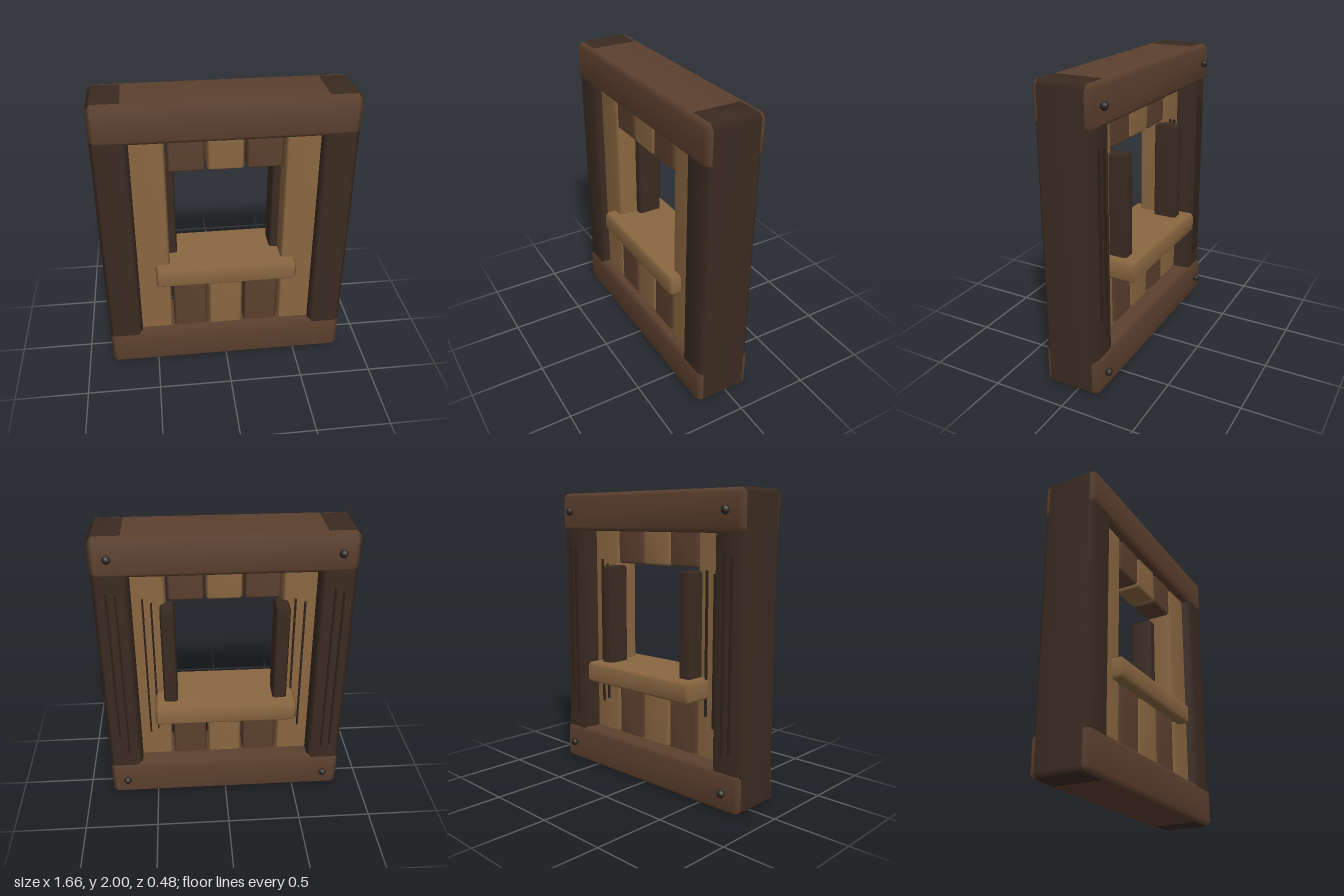
import * as THREE from 'three';
import { ConvexGeometry } from 'three/addons/geometries/ConvexGeometry.js';
import { mergeVertices } from 'three/addons/utils/BufferGeometryUtils.js';

const mat = (name, color) => {
  const m = new THREE.MeshStandardMaterial({ color });
  m.name = name;
  return m;
};

// Box with softly shaded chamfered edges, given by its minimum and maximum corners
function chamferBox(min, max, c) {
  const h = min.map((v, i) => (max[i] - v) / 2);
  const points = [];
  for (const sx of [-1, 1]) for (const sy of [-1, 1]) for (const sz of [-1, 1]) {
    for (let axis = 0; axis < 3; axis++) {
      const p = h.map((v, i) => (i === axis ? v : v - c));
      points.push(new THREE.Vector3(sx * p[0], sy * p[1], sz * p[2]));
    }
  }
  const hull = new ConvexGeometry(points);
  hull.deleteAttribute('normal');
  const g = mergeVertices(hull);
  g.computeVertexNormals();
  g.translate(...min.map((v, i) => (v + max[i]) / 2));
  return g;
}

export function createModel() {
  const group = new THREE.Group();
  group.name = 'windowFrame';
  const darkWood = mat('darkWood', 0x3b2b21);
  const midWood = mat('midWood', 0x5c402e);
  const lightWood = mat('lightWood', 0x8a6741);
  const grain = mat('grainWood', 0x2e2119);
  const iron = mat('iron', 0x2e2622);

  const add = (name, geometry, material) => {
    const mesh = new THREE.Mesh(geometry, material);
    mesh.name = name;
    group.add(mesh);
    return mesh;
  };
  const timber = (name, min, max, c, material) => add(name, chamferBox(min, max, c), material);

  // Board thickness
  const back = -0.03, front = 0.16;

  // Top and bottom beams
  timber('bottomBeam', [-0.828, 0.002, -0.165], [0.828, 0.267, 0.228], 0.03, midWood);
  timber('topBeam', [-0.828, 1.735, -0.165], [0.828, 1.998, 0.228], 0.03, midWood);

  for (const s of [-1, 1]) {
    const side = s > 0 ? 'left' : 'right';
    const span = (a, b) => (s > 0 ? [a, b] : [-b, -a]);

    // Corner posts, running the full height
    const [p0, p1] = span(0.6, 0.83);
    timber(side + 'Post', [p0, 0, -0.148], [p1, 2, 0.218], 0.03, darkWood);

    // Full-height side boards
    const [b0, b1] = span(0.382, 0.618);
    timber(side + 'Board', [b0, 0.12, back], [b1, 1.88, front], 0.016, lightWood);

    // Uprights behind the opening
    const [u0, u1] = span(0.325, 0.42);
    timber(side + 'Upright', [u0, 0.7, -0.15], [u1, 1.493, 0.02], 0.015, darkWood);

    // Bolt heads on the back of the beams
    for (const y of [0.135, 1.87]) {
      const bolt = add(side + 'Bolt', new THREE.SphereGeometry(0.028, 8, 6), iron);
      bolt.position.set(s * 0.716, y, -0.181);
      bolt.scale.z = 0.85;
    }
  }

  // Short planks above and below the opening
  [-0.25, 0, 0.25].forEach((x, i) => {
    const material = i === 1 ? lightWood : midWood;
    timber('lowerPlank', [x - 0.118, 0.12, back], [x + 0.118, 0.74, front], 0.016, material);
    timber('upperPlank', [x - 0.118, 1.51, back], [x + 0.118, 1.88, front], 0.016, material);
  });

  // Sill shelf
  timber('shelf', [-0.482, 0.665, -0.24], [0.482, 0.805, 0.24], 0.02, lightWood);

  // Raised grain strips on the back: x, bottom, top, surface z
  const strips = [
    [0.745, 0.52, 1.63, -0.148], [0.688, 0.37, 1.62, -0.148],
    [-0.695, 0.36, 1.63, -0.148], [-0.752, 0.38, 1.6, -0.148],
    [0.53, 0.47, 1.53, back], [0.475, 0.5, 1.5, back],
    [-0.465, 0.55, 1.5, back], [-0.53, 0.48, 1.48, back],
  ];
  for (const [x, y0, y1, z] of strips) {
    const strip = add('grainStrip', new THREE.BoxGeometry(0.012, y1 - y0, 0.03), grain);
    strip.position.set(x, (y0 + y1) / 2, z);
  }

  return group;
}
